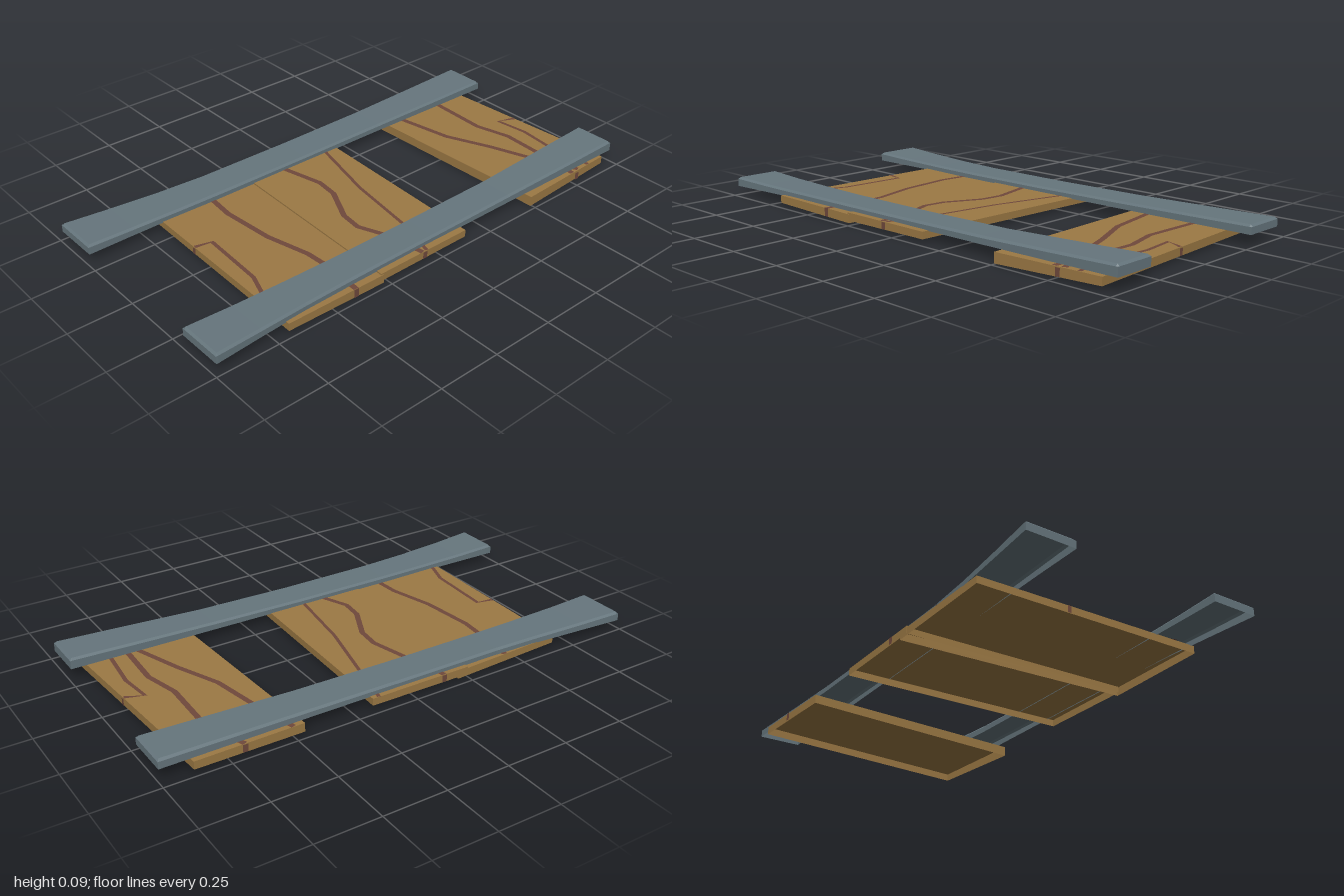
import * as THREE from 'three';

const wood = new THREE.MeshStandardMaterial({ color: 0x9c7944, side: THREE.DoubleSide });
wood.name = 'wood';
const crack = new THREE.MeshStandardMaterial({ color: 0x70493c, side: THREE.DoubleSide });
crack.name = 'crack brown';
const steel = new THREE.MeshStandardMaterial({ color: 0x66767d, side: THREE.DoubleSide });
steel.name = 'rail steel';

// Flat-shaded mesh from a list of quads (four [x, y, z] corners each)
function quadMesh(quads, material, name) {
  const pos = [];
  for (const [a, b, c, d] of quads) pos.push(...a, ...b, ...c, ...a, ...c, ...d);
  const geo = new THREE.BufferGeometry();
  geo.setAttribute('position', new THREE.Float32BufferAttribute(pos, 3));
  geo.computeVertexNormals();
  const mesh = new THREE.Mesh(geo, material);
  mesh.name = name;
  return mesh;
}

// Bent rail: bevelled channel, open below; stations are [z, xLeft, xRight, yBottom, yTop]
function makeRail(stations, name) {
  const bevel = 0.008;
  const section = ([z, l, r, b, t], inset = 0) => {
    const top = t - inset;
    return [[l, b, z], [l, t - bevel, z], [l + bevel, top, z],
      [r - bevel, top, z], [r, t - bevel, z], [r, b, z]];
  };
  const first = stations[0], last = stations[stations.length - 1];
  const shift = (s, dz) => [s[0] + dz, ...s.slice(1)];
  const rings = [section(first, bevel), section(shift(first, bevel)),
    ...stations.slice(1, -1).map((s) => section(s)),
    section(shift(last, -bevel)), section(last, bevel)];
  const quads = [];
  for (let i = 0; i < rings.length - 1; i++) {
    for (let k = 0; k < 5; k++) {
      quads.push([rings[i][k], rings[i + 1][k], rings[i + 1][k + 1], rings[i][k + 1]]);
    }
  }
  const s = rings[0], e = rings[rings.length - 1];
  quads.push([s[0], s[1], s[4], s[5]], [e[5], e[4], e[1], e[0]]);
  return quadMesh(quads, steel, name);
}

// Plank shell: corners [x, z, yBottom] run back left, front left, front right, back right
function makePlank({ name, corners, topBack, topFront, cracks }) {
  const group = new THREE.Group();
  group.name = name;
  const zBack = corners[0][1], zFront = corners[1][1];
  const topY = (z) => topBack + (topFront - topBack) * (z - zBack) / (zFront - zBack);
  const top = corners.map(([x, z]) => [x, topY(z), z]);
  const low = corners.map(([x, z, y]) => [x, y, z]);
  const quads = [top];
  for (let i = 0; i < 4; i++) {
    const j = (i + 1) % 4;
    quads.push([top[i], low[i], low[j], top[j]]);
  }
  group.add(quadMesh(quads, wood, 'board'));

  // Grain cracks: thin ribbons just above the board
  const strips = [];
  for (const { path, w = 0.011 } of cracks) {
    const sides = path.map(([x, z], i) => {
      const p = path[Math.max(i - 1, 0)], n = path[Math.min(i + 1, path.length - 1)];
      const len = Math.hypot(n[0] - p[0], n[1] - p[1]);
      const nx = -(n[1] - p[1]) / len * w, nz = (n[0] - p[0]) / len * w;
      const y = topY(z) + 0.0015;
      return [[x - nx, y, z - nz], [x + nx, y, z + nz]];
    });
    for (let i = 0; i < sides.length - 1; i++) {
      strips.push([sides[i][0], sides[i][1], sides[i + 1][1], sides[i + 1][0]]);
    }
  }
  group.add(quadMesh(strips, crack, 'cracks'));
  return group;
}

export function createModel() {
  const model = new THREE.Group();
  model.name = 'broken track';

  // Rails
  model.add(makeRail([
    [-0.995, -0.46, -0.287, 0.045, 0.081], [-0.7, -0.455, -0.292, 0.043, 0.075],
    [-0.4, -0.45, -0.298, 0.041, 0.069], [0, -0.45, -0.3, 0.04, 0.065],
    [0.4, -0.452, -0.3, 0.04, 0.065], [0.6, -0.462, -0.3, 0.04, 0.067],
    [0.8, -0.478, -0.3, 0.04, 0.071], [0.99, -0.493, -0.298, 0.04, 0.077],
  ], 'right rail'));
  model.add(makeRail([
    [-0.995, 0.292, 0.46, 0.052, 0.094], [-0.7, 0.298, 0.455, 0.047, 0.083],
    [-0.4, 0.305, 0.448, 0.042, 0.072], [0, 0.305, 0.447, 0.04, 0.066],
    [0.4, 0.305, 0.452, 0.04, 0.065], [0.6, 0.304, 0.46, 0.04, 0.067],
    [0.8, 0.302, 0.473, 0.04, 0.071], [0.988, 0.3, 0.487, 0.04, 0.078],
  ], 'left rail'));

  // Planks, back to front
  model.add(makePlank({
    name: 'back plank', topBack: 0.044, topFront: 0.04,
    corners: [[-0.48, -0.88, 0.013], [-0.47, -0.455, 0.005], [0.48, -0.495, 0], [0.465, -0.94, 0.014]],
    cracks: [
      { path: [[0.013, -0.91], [-0.015, -0.84], [0.12, -0.855], [0.3, -0.835], [0.467, -0.85]], w: 0.008 },
      { path: [[-0.475, -0.69], [-0.3, -0.75], [-0.045, -0.74], [0.1, -0.775], [0.3, -0.765], [0.47, -0.75]] },
      { path: [[-0.47, -0.5], [-0.3, -0.54], [-0.07, -0.58], [0.11, -0.655], [0.3, -0.72], [0.465, -0.79]] },
    ],
  }));
  model.add(makePlank({
    name: 'middle plank', topBack: 0.043, topFront: 0.043,
    corners: [[-0.47, -0.175, 0.015], [-0.47, 0.25, 0.012], [0.475, 0.28, 0.012], [0.475, -0.138, 0.015]],
    cracks: [
      { path: [[-0.47, -0.15], [-0.3, -0.11], [0, -0.035], [0.3, 0.01], [0.475, 0.06]], w: 0.007 },
      { path: [[-0.47, 0.14], [-0.3, 0.1], [-0.13, 0.06], [-0.035, 0.07], [0.11, 0.14], [0.2, 0.15],
        [0.3, 0.11], [0.475, 0.08]] },
    ],
  }));
  model.add(makePlank({
    name: 'front plank', topBack: 0.036, topFront: 0.044,
    corners: [[-0.47, 0.205, 0.005], [-0.46, 0.675, 0.016], [0.482, 0.695, 0.014], [0.478, 0.27, 0.003]],
    cracks: [
      { path: [[-0.465, 0.43], [-0.3, 0.45], [-0.19, 0.46], [0.03, 0.44], [0.21, 0.395], [0.3, 0.39], [0.48, 0.4]] },
      { path: [[-0.085, 0.682], [-0.072, 0.615], [0.2, 0.63], [0.3, 0.665], [0.4, 0.69]], w: 0.008 },
    ],
  }));

  // Crack marks running down the plank edges: [x, z, half width x, half width z, yBottom]
  const marks = [[-0.085, 0.685, 0.008, 0, 0.016], [0.013, -0.914, 0.008, 0, 0.015],
    [0.483, 0.4, 0, 0.01, 0.008], [0.478, 0.07, 0, 0.01, 0.015], [0.478, -0.77, 0, 0.01, 0.012],
    [-0.479, -0.69, 0, 0.01, 0.012], [-0.472, 0.14, 0, 0.01, 0.015]];
  model.add(quadMesh(marks.map(([x, z, wx, wz, y]) => [
    [x - wx, 0.042, z - wz], [x - wx, y, z - wz], [x + wx, y, z + wz], [x + wx, 0.042, z + wz],
  ]), crack, 'edge cracks'));

  return model;
}
